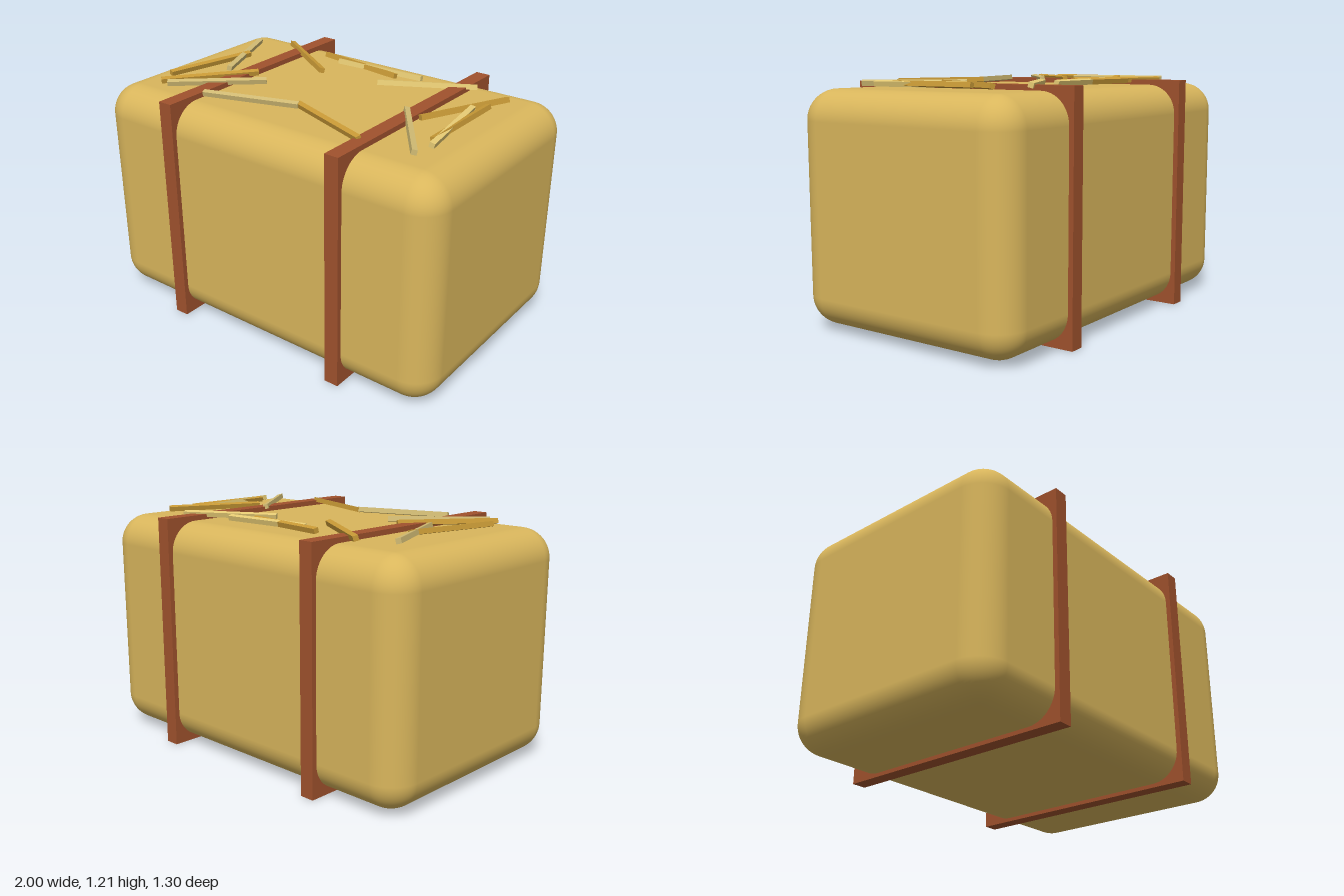
import * as THREE from 'three';
import { RoundedBoxGeometry } from 'three/addons/geometries/RoundedBoxGeometry.js';

const material = (color) => new THREE.MeshStandardMaterial({ color });

function addMesh(parent, name, geometry, mat, x, y, z) {
  const mesh = new THREE.Mesh(geometry, mat);
  mesh.name = name;
  mesh.position.set(x, y, z);
  parent.add(mesh);
  return mesh;
}

export function createModel() {
  const model = new THREE.Group();
  model.name = 'hayBale';

  // Soft-edged block of hay
  addMesh(model, 'bale', new RoundedBoxGeometry(2, 1.145, 1.25, 8, 0.15), material(0xd9b65c), 0, 0.592, 0);

  // Two binding straps with square outer corners
  const strapMat = material(0xa0522d);
  const strapGeo = new THREE.BoxGeometry(0.075, 1.19, 1.3);
  for (const side of [-1, 1]) {
    addMesh(model, side > 0 ? 'leftStrap' : 'rightStrap', strapGeo, strapMat, side * 0.5, 0.595, 0);
  }

  // Loose straws on top: start x, z, end x, z, colour index
  const straws = [
    [-0.61, -0.45, -0.19, -0.18, 0],
    [-0.79, -0.38, -0.60, 0.09, 1],
    [-0.68, -0.16, -0.79, 0.32, 0],
    [-0.44, 0.04, -0.75, 0.43, 0],
    [-0.32, 0.11, -0.70, 0.44, 1],
    [0.02, 0.28, -0.45, 0.43, 1],
    [0.48, 0.43, 0.02, 0.27, 0],
    [0.46, 0.01, 0.76, 0.41, 1],
    [0.70, -0.19, 0.78, 0.30, 2],
    [0.75, 0.24, 0.75, -0.25, 0],
    [0.57, 0.06, 0.78, -0.39, 0],
    [0.14, -0.21, 0.58, -0.45, 2],
    [-0.33, -0.41, 0.16, -0.34, 0],
    [-0.21, -0.36, 0.29, -0.39, 2],
  ];
  const strawMats = [0xc99a36, 0xd2bc74, 0xe6cb74].map(material);
  const strawGroup = new THREE.Group();
  strawGroup.name = 'looseStraws';
  model.add(strawGroup);
  const strawGeo = new THREE.BoxGeometry(0.5, 0.025, 0.026);
  strawGeo.rotateX(-0.25); // slight roll about its length
  straws.forEach(([x0, z0, x1, z1, tint], i) => {
    const straw = addMesh(strawGroup, `straw${i + 1}`, strawGeo, strawMats[tint], (x0 + x1) / 2, 1.19, (z0 + z1) / 2);
    straw.rotation.y = Math.atan2(z0 - z1, x1 - x0);
  });

  return model;
}
